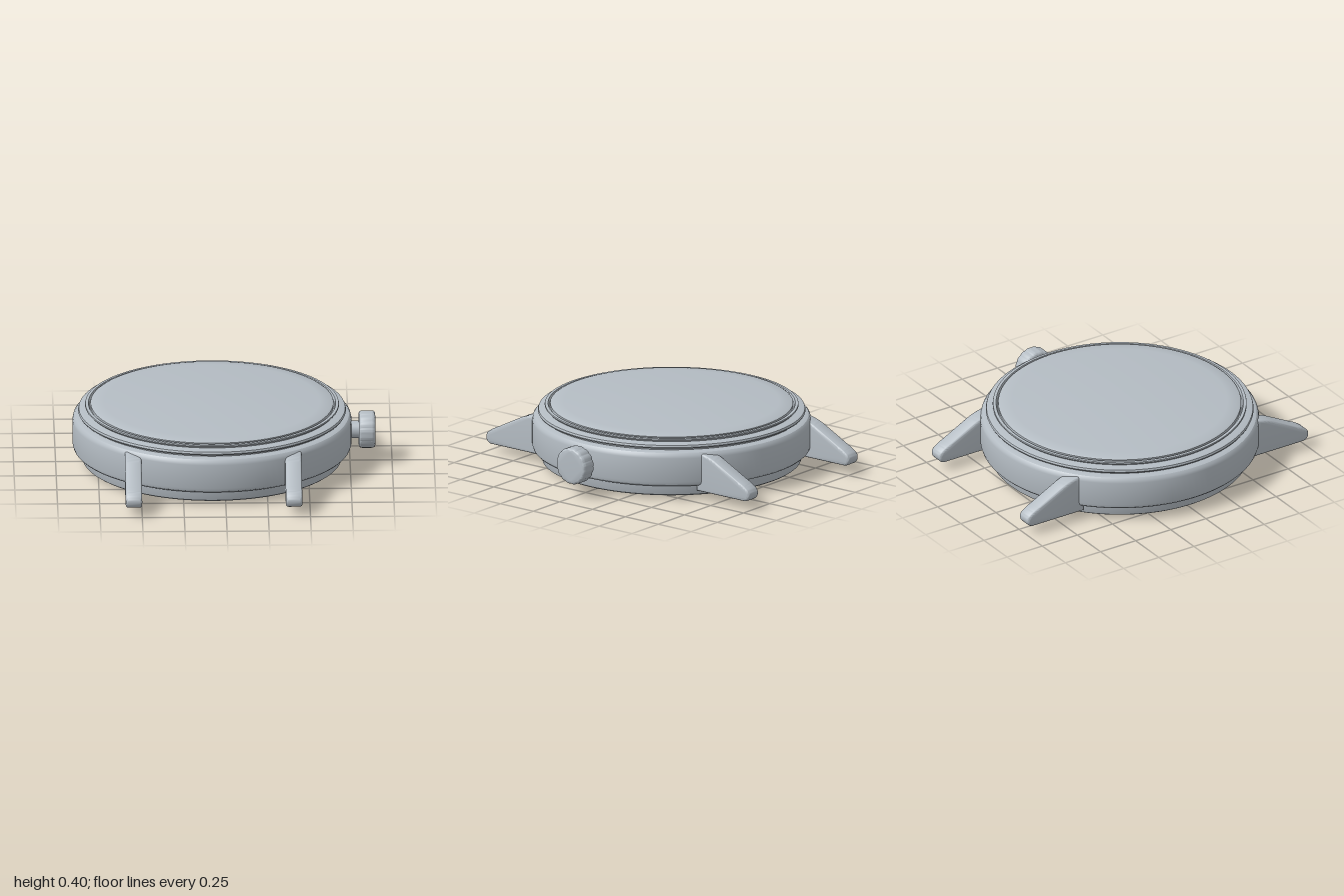
import * as THREE from 'three';
import { toCreasedNormals } from 'three/addons/utils/BufferGeometryUtils.js';

const CX = -0.07; // axis of the round case

export function createModel() {
  const model = new THREE.Group();
  model.name = 'wristWatch';
  const steel = new THREE.MeshStandardMaterial({ color: 0xb4bcc3 });
  steel.name = 'brushed steel';

  function add(name, geometry, x = 0, y = 0, z = 0, crease = 0.5) {
    const mesh = new THREE.Mesh(toCreasedNormals(geometry, crease), steel);
    mesh.name = name;
    mesh.position.set(x, y, z);
    model.add(mesh);
    return mesh;
  }

  // Turned parts: [radius, height] from the bottom up
  const turned = (name, profile) => add(name,
    new THREE.LatheGeometry(profile.map(([r, y]) => new THREE.Vector2(r, y)), 128), CX);

  turned('caseBack', [[0, 0], [0.62, 0], [0.71, 0.01], [0.76, 0.018], [0.77, 0.025],
    [0.785, 0.08], [0.785, 0.1]]);
  turned('caseBand', [[0.76, 0.085], [0.795, 0.085], [0.812, 0.09], [0.824, 0.102], [0.829, 0.12],
    [0.829, 0.265], [0.825, 0.283], [0.814, 0.296], [0.795, 0.303], [0.72, 0.305]]);
  turned('bezel', [[0.77, 0.295], [0.775, 0.312], [0.792, 0.316], [0.796, 0.324], [0.792, 0.336],
    [0.78, 0.34], [0.755, 0.342], [0.742, 0.345], [0.755, 0.358], [0.753, 0.365],
    [0.735, 0.366], [0.728, 0.35], [0.71, 0.35]]);

  // Shallow domed crystal
  const dome = [[0.722, 0.345], [0.722, 0.368], [0.712, 0.374]];
  for (let i = 1; i <= 10; i++) {
    const r = 0.712 * (1 - i / 10);
    dome.push([r, 0.4 - 0.026 * (r / 0.712) ** 2]);
  }
  turned('crystal', dome);

  // Four strap lugs, side profile in (z, y), inset by the bevel
  const bevel = 0.015;
  const side = new THREE.Shape();
  side.moveTo(0.615, 0.067);
  side.lineTo(0.96, 0.067);
  side.bezierCurveTo(0.985, 0.067, 0.995, 0.1, 0.975, 0.115);
  side.quadraticCurveTo(0.95, 0.135, 0.91, 0.152);
  side.lineTo(0.75, 0.235);
  side.quadraticCurveTo(0.69, 0.267, 0.62, 0.275);
  side.lineTo(0.615, 0.275);
  side.closePath();
  const width = 0.098;
  for (const [end, turn] of [['front', -1], ['back', 1]]) {
    for (const [hand, x] of [['Left', 0.403], ['Right', -0.549]]) {
      const lug = new THREE.ExtrudeGeometry(side, {
        depth: width - 2 * bevel, bevelThickness: bevel, bevelSize: bevel,
        bevelSegments: 4, curveSegments: 10,
      });
      lug.translate(0, 0, -(width - 2 * bevel) / 2);
      lug.rotateY(turn * Math.PI / 2);
      add(end + hand + 'Lug', lug, x, 0, 0, 0.7);
    }
  }

  // Winding stem and scalloped crown
  const crownY = 0.195;
  const stem = new THREE.CylinderGeometry(0.052, 0.052, 0.12, 32);
  stem.rotateZ(Math.PI / 2);
  add('crownStem', stem, 0.77, crownY);

  const rim = [];
  const lobes = 16, steps = 128;
  for (let i = 0; i < steps; i++) {
    const a = i / steps * Math.PI * 2;
    const r = 0.089 + 0.005 * Math.abs(Math.sin(a * lobes / 2));
    rim.push(new THREE.Vector2(r * Math.cos(a), r * Math.sin(a)));
  }
  const crown = new THREE.ExtrudeGeometry(new THREE.Shape(rim), {
    depth: 0.058, bevelThickness: 0.02, bevelSize: 0.018, bevelSegments: 5,
  });
  crown.translate(0, 0, 0.02);
  crown.rotateY(Math.PI / 2);
  add('crown', crown, 0.802, crownY, 0, 0.6);

  return model;
}
